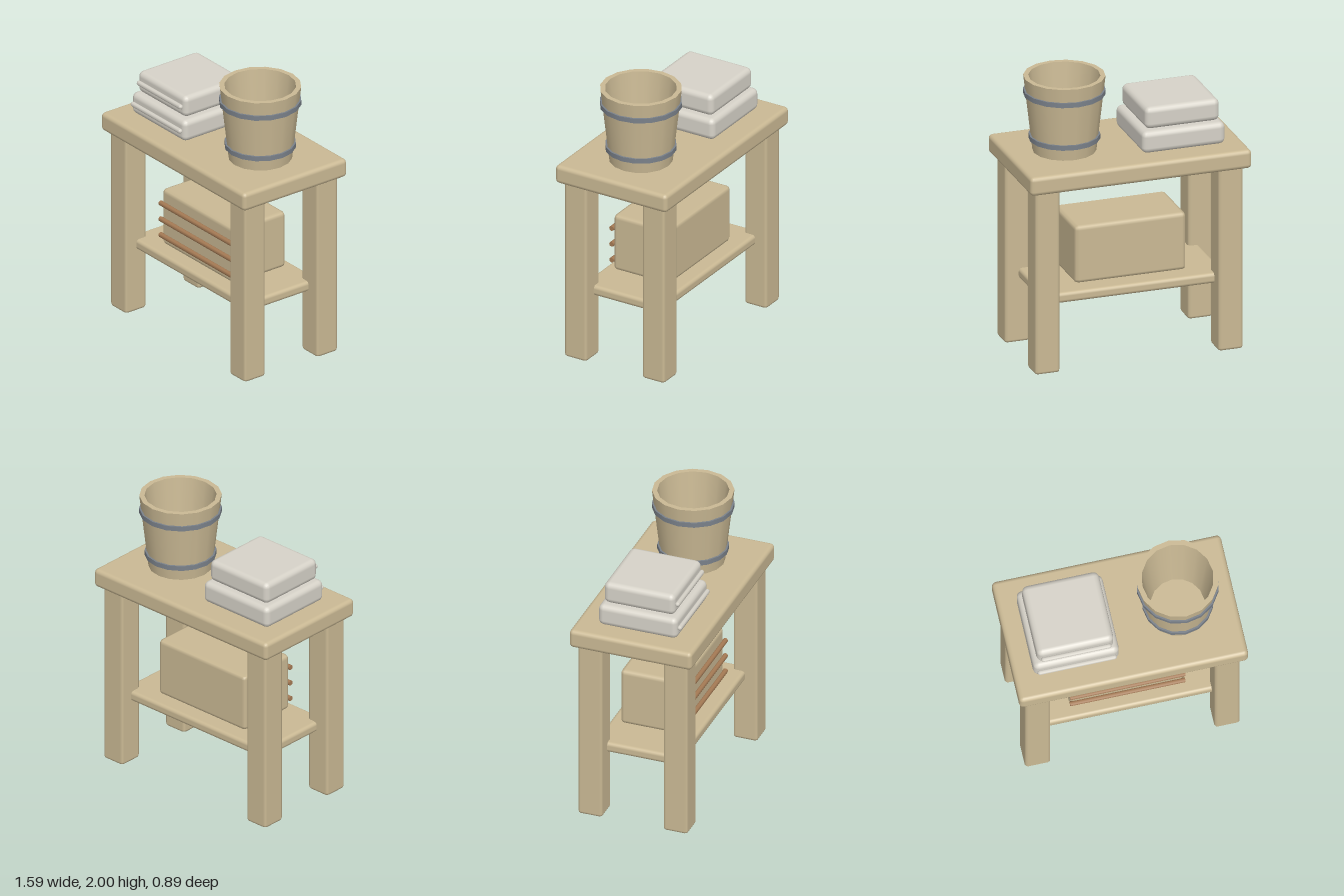
import * as THREE from 'three';
import { RoundedBoxGeometry } from 'three/addons/geometries/RoundedBoxGeometry.js';

const material = (name, color) => {
  const m = new THREE.MeshStandardMaterial({ color });
  m.name = name;
  return m;
};

export function createModel() {
  const wood = material('paleWood', 0xcab994);
  const cloth = material('linen', 0xd6d2c8);
  const metal = material('greyMetal', 0x7a818a);
  const cane = material('brownCane', 0xa67b55);

  const model = new THREE.Group();
  model.name = 'washStand';

  const add = (name, geometry, mat, x, y, z, parent = model) => {
    const mesh = new THREE.Mesh(geometry, mat);
    mesh.name = name;
    mesh.position.set(x, y, z);
    parent.add(mesh);
    return mesh;
  };

  // Rounded block given by its min and max along each axis
  const block = (name, mat, [x0, x1], [y0, y1], [z0, z1], radius, segments, parent) =>
    add(name, new RoundedBoxGeometry(x1 - x0, y1 - y0, z1 - z0, segments, radius), mat,
      (x0 + x1) / 2, (y0 + y1) / 2, (z0 + z1) / 2, parent);

  // Table
  block('tableTop', wood, [-0.795, 0.795], [1.325, 1.46], [-0.445, 0.445], 0.03, 2);
  block('shelf', wood, [-0.65, 0.65], [0.465, 0.54], [-0.31, 0.31], 0.025, 2);
  for (const sx of [-1, 1]) for (const sz of [-1, 1]) {
    const name = (sz > 0 ? 'front' : 'back') + (sx > 0 ? 'Left' : 'Right') + 'Leg';
    const leg = new RoundedBoxGeometry(0.178, 1.34, 0.178, 1, 0.022);
    add(name, leg, wood, sx * 0.658, 0.67, sz * 0.31);
  }

  // Storage box with three cane rods across its front
  const box = new THREE.Group();
  box.name = 'storageBox';
  model.add(box);
  block('boxBody', wood, [-0.4, 0.4], [0.555, 0.973], [-0.225, 0.225], 0.03, 1, box);
  for (const y of [0.625, 0.745, 0.865]) {
    const rod = new THREE.CylinderGeometry(0.018, 0.018, 0.8, 8);
    add('boxRod', rod, cane, 0, y, 0.235, box).rotation.z = Math.PI / 2;
  }

  // Two folded towels, each with a rolled fold along the front
  const towels = new THREE.Group();
  towels.name = 'towels';
  model.add(towels);
  const towel = (name, halfWidth, y0, y1, halfDepth, foldZ) => {
    const cx = -0.363;
    block(name, cloth, [cx - halfWidth, cx + halfWidth], [y0, y1],
      [-halfDepth, halfDepth], 0.04, 2, towels);
    const fold = new THREE.CapsuleGeometry(0.018, halfWidth * 2 - 0.08, 3, 8);
    add(name + 'Fold', fold, cloth, cx, (y0 + y1) / 2 + 0.002, foldZ, towels).rotation.z = Math.PI / 2;
  };
  towel('lowerTowel', 0.298, 1.462, 1.62, 0.288, 0.296);
  towel('upperTowel', 0.267, 1.625, 1.783, 0.258, 0.268);

  // Tapered bucket with an open top and two hoops
  const bucket = new THREE.Group();
  bucket.name = 'bucket';
  bucket.position.set(0.4, 0, 0);
  model.add(bucket);
  const turned = (name, points, mat) =>
    add(name, new THREE.LatheGeometry(points.map(([r, y]) => new THREE.Vector2(r, y)), 16), mat, 0, 0, 0, bucket);
  turned('bucketOutside', [[0.218, 1.46], [0.28, 2]], wood);
  turned('bucketRim', [[0.28, 2], [0.245, 2]], wood);
  turned('bucketInside', [[0.245, 2], [0.185, 1.48]], wood);
  turned('bucketFloor', [[0.185, 1.48], [0, 1.48]], wood);
  for (const [y, r] of [[1.885, 0.281], [1.56, 0.244]]) {
    const low = y - 0.017, high = y + 0.017, inner = r - 0.025;
    turned('hoopBand', [[r, low], [r, high]], metal);
    turned('hoopTop', [[r, high], [inner, high]], metal);
    turned('hoopUnderside', [[inner, low], [r, low]], metal);
  }
  return model;
}
